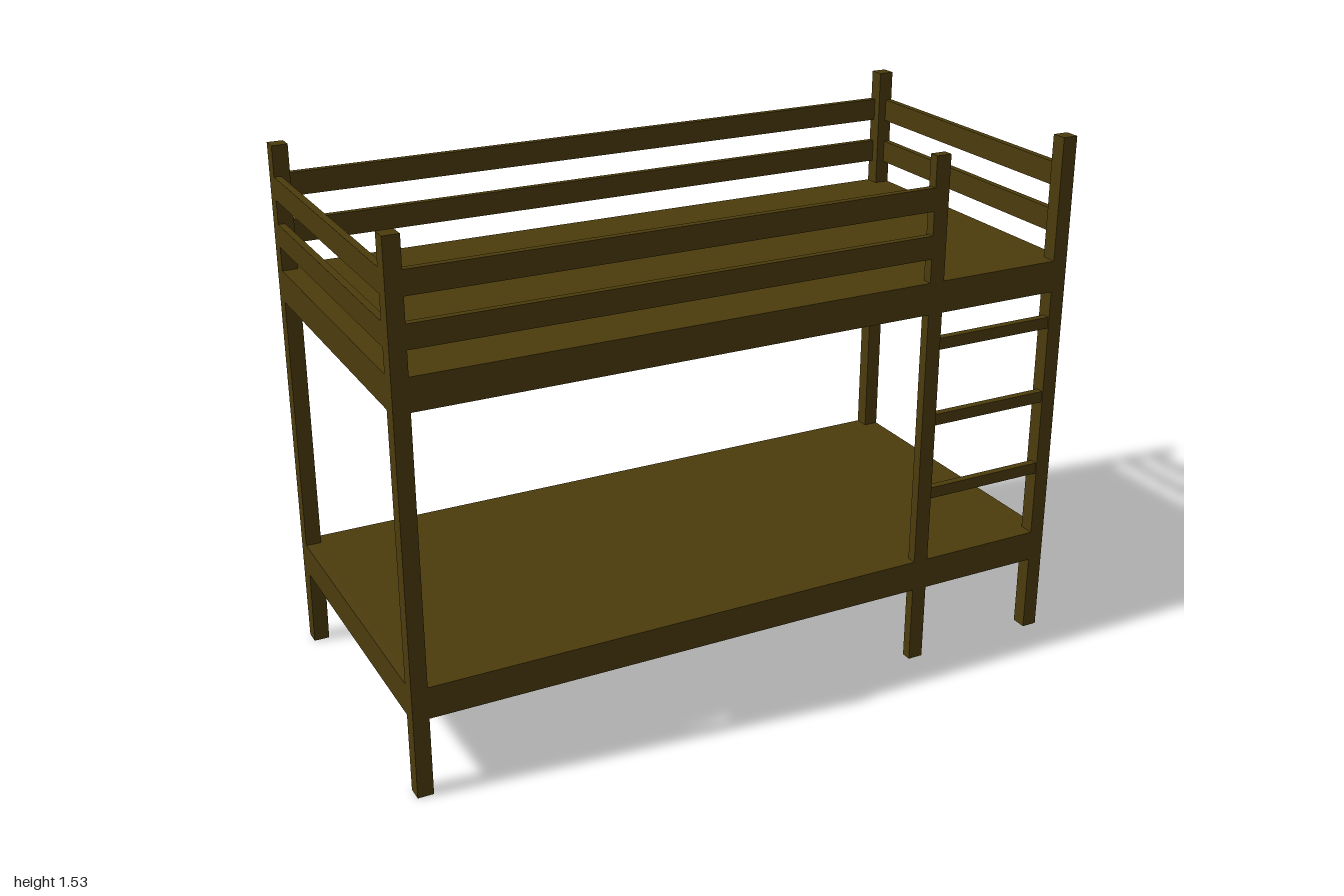
import * as THREE from 'three';

export function createModel() {
  const group = new THREE.Group();
  const wood = new THREE.MeshStandardMaterial({ color: 0x4c3c0d });
  wood.name = 'dark olive wood';

  const X = 1, Z = 0.478, H = 1.53;   // outer half sizes and height
  const P = 0.045, T = 0.02;          // post thickness, board thickness
  const LX = 0.535, LD = 0.03;        // ladder post left edge and depth

  // Box given by its limits on each axis
  function slab(name, x0, x1, y0, y1, z0, z1) {
    const mesh = new THREE.Mesh(new THREE.BoxGeometry(x1 - x0, y1 - y0, z1 - z0), wood);
    mesh.position.set((x0 + x1) / 2, (y0 + y1) / 2, (z0 + z1) / 2);
    mesh.name = name;
    group.add(mesh);
    return mesh;
  }

  // Corner posts
  for (const x of [-X, X - P]) {
    slab('frontPost', x, x + P, 0, H, Z - P, Z);
    slab('backPost', x, x + P, 0, H, -Z, -Z + P);

    // Slim wedge on the inner face of each back leg, widening upwards
    const wedge = new THREE.Shape();
    wedge.moveTo(0, 0);
    wedge.lineTo(0, 0.23);
    wedge.lineTo(-0.012, 0.23);
    const brace = new THREE.Mesh(
      new THREE.ExtrudeGeometry(wedge, { depth: P, bevelEnabled: false }), wood);
    brace.rotation.y = Math.PI / 2;
    brace.position.set(x, 0, -Z + P);
    brace.name = 'backLegWedge';
    group.add(brace);
  }

  // Ladder post and rungs
  slab('ladderPost', LX, LX + P, 0, H, Z - LD, Z);
  for (const y of [0.515, 0.743, 0.972]) {
    slab('ladderRung', LX + P, X - P, y, y + 0.034, Z - LD + 0.004, Z - 0.004);
  }

  // Boards on the back, both ends and the front up to the ladder
  function ring(name, y0, y1) {
    slab(name + 'Back', -X + P, X - P, y0, y1, -Z, -Z + T);
    slab(name + 'Front', -X + P, LX, y0, y1, Z - T, Z);
    slab(name + 'LeftEnd', X - T, X, y0, y1, -Z + P, Z - P);
    slab(name + 'RightEnd', -X, -X + T, y0, y1, -Z + P, Z - P);
  }

  // Two beds: side boards all around and a flush deck
  for (const [name, y0, y1] of [['lowerBed', 0.23, 0.322], ['upperBed', 1.083, 1.175]]) {
    ring(name, y0, y1);
    slab(name + 'LadderSide', LX + P, X - P, y0, y1, Z - T, Z);
    slab(name + 'Deck', -X + T, X - T, y0, y1, -Z + T, Z - T);
  }

  // Guard rails, open at the ladder
  ring('lowerGuardRail', 1.243, 1.309);
  ring('upperGuardRail', 1.377, 1.443);

  return group;
}
